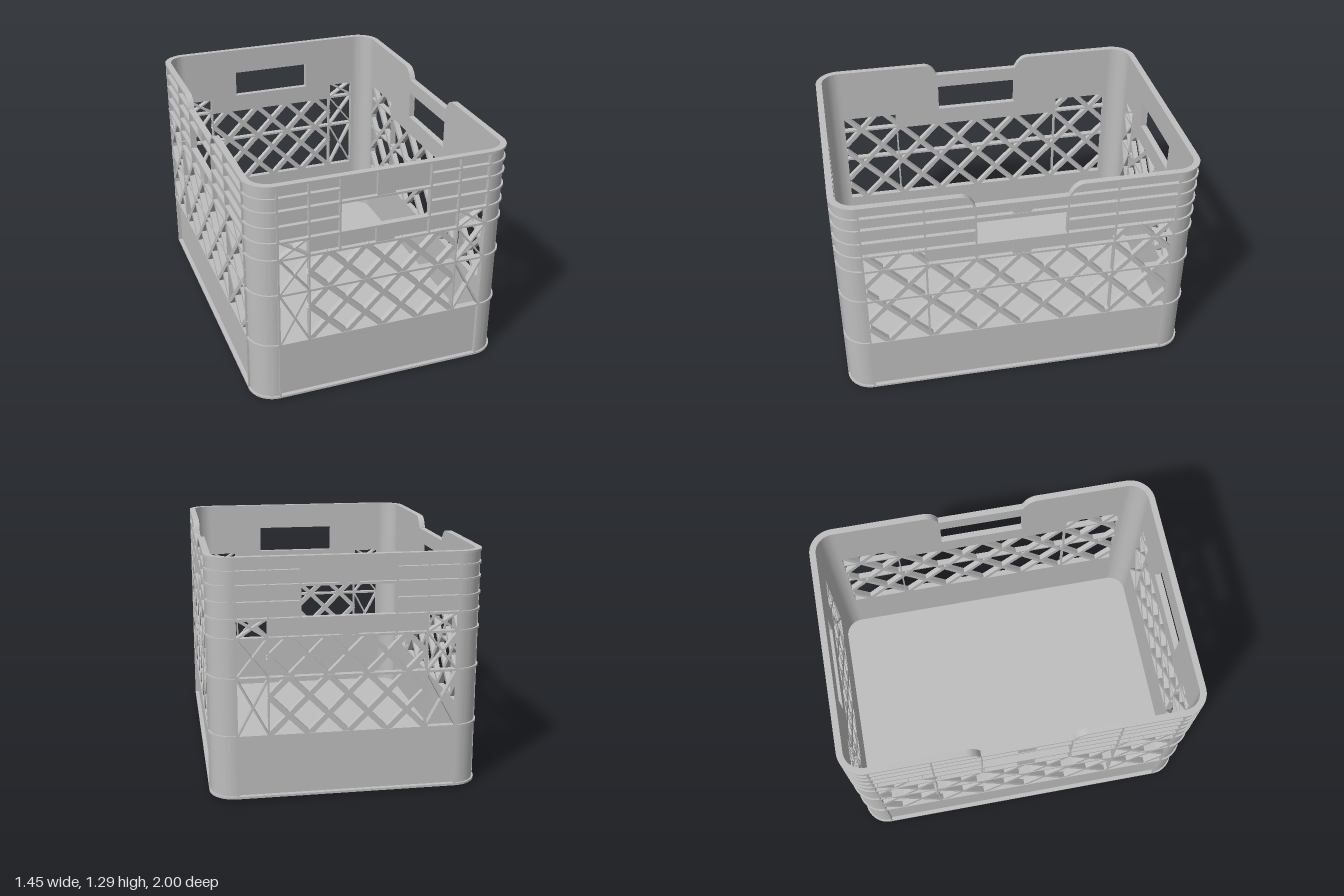
import * as THREE from 'three';
import { toCreasedNormals } from 'three/addons/utils/BufferGeometryUtils.js';

const X = 0.725, Z = 1, R = 0.14;         // outer half sizes and corner radius
const DEPTH = 0.036, SKIN = 0.012;        // rib depth and wall thickness
const BASE = 0.015, TOP = 1.295, T = 0.012;
const BAND = 0.355, MID = 0.665, LOW = 0.875, HOLE_Y = 0.98, HOLE_TOP = 1.14, NOTCH_Y = 1.225;
const HOLE = 0.245;
const LEVELS = [0.021, BAND, MID, LOW, HOLE_Y - T / 2, 1.06, HOLE_TOP + T / 2, 1.22, TOP - T / 2];

export function createModel() {
  const crate = new THREE.Group();
  crate.name = 'crate';
  const grey = new THREE.MeshStandardMaterial({ color: 0xbebebe });
  grey.name = 'grey plastic';

  const add = (parent, geometry, name) => {
    const mesh = new THREE.Mesh(geometry, grey);
    mesh.name = name;
    parent.add(mesh);
    return mesh;
  };
  const extrude = (shape, depth) => toCreasedNormals(
    new THREE.ExtrudeGeometry(shape, { depth, bevelEnabled: false, curveSegments: 10 }), 0.6);
  const polygon = (list, Type = THREE.Shape) => new Type(list.map(p => new THREE.Vector2(...p)));

  const roundedRect = (w, d, r, Type = THREE.Shape) => {
    const s = new Type();
    s.moveTo(w, -d + r);
    s.absarc(w - r, d - r, r, 0, Math.PI / 2);
    s.absarc(-w + r, d - r, r, Math.PI / 2, Math.PI);
    s.absarc(-w + r, -d + r, r, Math.PI, Math.PI * 1.5);
    s.absarc(w - r, -d + r, r, Math.PI * 1.5, Math.PI * 2);
    return s;
  };

  // Floor slab and the foot ring under it
  const floor = add(crate, extrude(roundedRect(X, Z, R), 0.012), 'floor');
  floor.rotation.x = -Math.PI / 2;
  floor.position.y = BASE;
  const ring = roundedRect(X - 0.045, Z - 0.05, R - 0.04);
  ring.holes.push(roundedRect(X - 0.065, Z - 0.07, R - 0.06, THREE.Path));
  const foot = add(crate, extrude(ring, BASE + 0.002), 'footRing');
  foot.rotation.x = -Math.PI / 2;

  // Corners: curved pillar with a stack of slightly raised flanges
  const sector = (inner, outer, h) => {
    const s = new THREE.Shape();
    s.absarc(0, 0, outer, 0, Math.PI / 2, false);
    s.absarc(0, 0, inner, Math.PI / 2, 0, true);
    return extrude(s, h).rotateX(-Math.PI / 2);
  };
  const pillarGeo = sector(R - DEPTH, R - 0.01, TOP - BASE);
  const flangeGeo = sector(R - DEPTH, R, T);
  [[1, -1], [-1, -1], [-1, 1], [1, 1]].forEach(([sx, sz], i) => {
    const corner = new THREE.Group();
    corner.name = 'corner';
    corner.position.set(sx * (X - R), 0, sz * (Z - R));
    corner.rotation.y = i * Math.PI / 2;
    add(corner, pillarGeo, 'cornerPillar').position.y = BASE;
    for (const y of LEVELS) add(corner, flangeGeo, 'cornerFlange').position.y = y - T / 2;
    crate.add(corner);
  });

  // One wall, drawn facing +z: half = half length, mid = half width of the low lattice
  function buildWall(half, mid, side) {
    const wall = new THREE.Group();
    const edge = half - 0.005;
    const crown = side ? NOTCH_Y : TOP;

    // Straight bar between two points on the wall
    const bar = (xa, ya, xb, yb, width, name, depth = DEPTH) => {
      const m = add(wall, new THREE.BoxGeometry(Math.hypot(xb - xa, yb - ya), width, depth), name);
      m.position.set((xa + xb) / 2, (ya + yb) / 2, -DEPTH + depth / 2);
      m.rotation.z = Math.atan2(yb - ya, xb - xa);
    };
    const mirrored = (xa, ya, xb, yb, width, name) => {
      for (const s of [-1, 1]) bar(s * xa, ya, s * xb, yb, width, name);
    };

    // Upper edge of the right half and the line below it, from the end to the middle
    const rim = [[half, TOP]], under = [[half, TOP - T]];
    if (side) {
      for (let i = 0; i <= 8; i++) {
        const a = i / 8 * Math.PI / 3;
        const x = 0.33 - 0.08 * Math.sin(a) / Math.sin(Math.PI / 3);
        const y = TOP - 0.14 * (1 - Math.cos(a));
        rim.push([x, y]);
        under.push([x + T * Math.sin(a), y - T * Math.cos(a)]);
      }
    } else {
      rim.push([0, TOP]);
      under.push([0, TOP - T]);
    }
    const mirror = list => list.map(([x, y]) => [-x, y]);

    // Skin with a handle slot and an opening for the lattice
    const upper = side ? rim : rim.slice(0, 1);
    const shape = polygon([[-half, BASE], [half, BASE], ...upper, ...mirror(upper).reverse()]);
    const shoulder = HOLE_Y - T / 2;
    shape.holes.push(
      polygon([[-HOLE, HOLE_Y], [HOLE, HOLE_Y], [HOLE, HOLE_TOP], [-HOLE, HOLE_TOP]], THREE.Path),
      polygon([[-edge, BAND], [edge, BAND], [edge, shoulder], [mid, shoulder], [mid, LOW],
        [-mid, LOW], [-mid, shoulder], [-edge, shoulder]], THREE.Path));
    add(wall, extrude(shape, SKIN), 'wallSkin').position.z = -DEPTH;

    // Rim lip following the upper edge
    const lipPoints = [...rim, ...under.reverse()];
    for (const list of [lipPoints, mirror(lipPoints)]) {
      add(wall, extrude(polygon(list), DEPTH), 'rimLip').position.z = -DEPTH;
    }
    if (side) bar(-0.255, NOTCH_Y - T / 2, 0.255, NOTCH_Y - T / 2, T, 'rimLip');

    // Horizontal ribs, broken at the handle where needed
    for (const y of LEVELS.slice(0, -1)) {
      if (y === 1.06 || y === 1.22) mirrored(HOLE, y, half, y, T, 'rib');
      else bar(-half, y, half, y, T, 'rib');
    }

    // Vertical ribs
    mirrored(half - 0.003, BASE, half - 0.003, TOP, 0.01, 'endRib');
    mirrored(mid, BAND, mid, TOP, 0.008, 'rib');
    mirrored(HOLE + 0.004, LOW, HOLE + 0.004, crown, 0.008, 'handleRib');

    // Raised blocks in the middle, above and below the handle
    for (const [a, b] of [[HOLE_TOP, crown], [LOW, HOLE_Y]]) {
      bar(-0.05, (a + b) / 2, 0.05, (a + b) / 2, b - a, 'handleBlock', DEPTH - 0.003);
    }

    // Diagonal lattice clipped to a rectangle
    const lattice = (x0, x1, y1, px, py, width) => {
      const k = px / py;
      for (const s of [-1, 1]) {
        for (let i = -14; i <= 14; i++) {
          const c = i * px;
          const ends = [(x0 - c) / (s * k) + BAND, (x1 - c) / (s * k) + BAND].sort((a, b) => a - b);
          const ya = Math.max(BAND, ends[0]), yb = Math.min(y1, ends[1]);
          if (yb - ya > 0.02) {
            bar(c + s * k * (ya - BAND), ya, c + s * k * (yb - BAND), yb, width, 'latticeBar', DEPTH - 0.004);
          }
        }
      }
    };
    if (side) {
      lattice(-mid, mid, LOW, 0.25, 0.26, 0.026);
      lattice(mid, edge, shoulder, 0.25, 0.26, 0.026);
      lattice(-edge, -mid, shoulder, 0.25, 0.26, 0.026);
    } else {
      lattice(-mid, mid, LOW, 0.207, 0.208, 0.028);
      // Thin crosses in the narrow end cells
      for (const [a, b] of [[BAND, MID], [MID, LOW], [LOW, HOLE_Y]]) {
        mirrored(mid, a, edge, b, 0.01, 'crossBar');
        mirrored(mid, b, edge, a, 0.01, 'crossBar');
      }
    }
    return wall;
  }

  // Four walls turned around the floor
  ['frontWall', 'leftWall', 'backWall', 'rightWall'].forEach((name, i) => {
    const side = i % 2 === 1;
    const wall = side ? buildWall(Z - R, 0.52, true) : buildWall(X - R, 0.415, false);
    const angle = i * Math.PI / 2, d = side ? X : Z;
    wall.name = name;
    wall.rotation.y = angle;
    wall.position.set(Math.sin(angle) * d, 0, Math.cos(angle) * d);
    crate.add(wall);
  });

  return crate;
}
